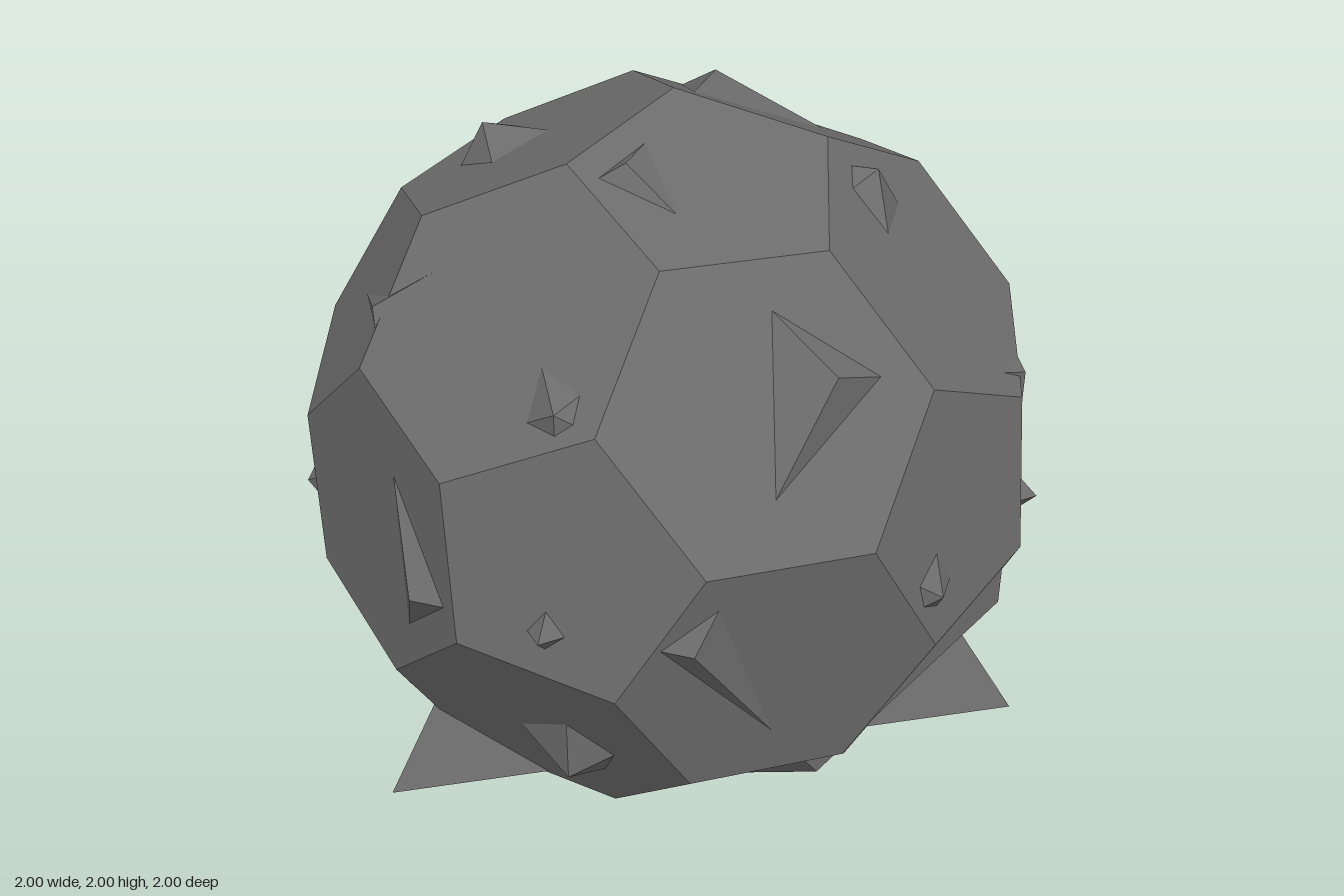
import * as THREE from 'three';
import { ConvexGeometry } from 'three/addons/geometries/ConvexGeometry.js';

const material = new THREE.MeshStandardMaterial({ color: 0x6c6c6c, flatShading: true });

// The 12 corners of an icosahedron: cyclic permutations of (0, ±1, ±phi)
function icosahedronCorners() {
  const phi = (1 + Math.sqrt(5)) / 2;
  const corners = [];
  for (const a of [-1, 1]) for (const b of [-phi, phi]) {
    corners.push(new THREE.Vector3(0, a, b), new THREE.Vector3(a, b, 0), new THREE.Vector3(b, 0, a));
  }
  return corners;
}

// Truncated icosahedron of radius 1, standing on a corner, one top edge along +x
function truncatedIcosahedron() {
  const corners = icosahedronCorners();
  const points = [];
  let frame = null;
  for (const a of corners) for (const b of corners) {
    if (a === b || a.distanceTo(b) > 2.1) continue;
    const p = a.clone().lerp(b, 1 / 3).normalize();
    points.push(p);
    if (!frame) {
      const u = a.clone().addScaledVector(p, -a.dot(p)).normalize();
      frame = new THREE.Matrix4().makeBasis(u, p, u.clone().cross(p));
    }
  }
  const turn = new THREE.Matrix4().makeRotationY(-THREE.MathUtils.degToRad(55.69));
  const place = turn.multiply(frame.transpose());
  points.forEach((p) => p.applyMatrix4(place));
  return new ConvexGeometry(points);
}

export function createModel() {
  const model = new THREE.Group();
  model.name = 'nestedPolyhedra';

  // All solids share one centre
  const add = (name, geometry) => {
    const mesh = new THREE.Mesh(geometry, material);
    mesh.name = name;
    mesh.position.y = 1;
    model.add(mesh);
  };

  // Outer ball of pentagons and hexagons
  add('truncatedIcosahedron', truncatedIcosahedron());

  // Regular solids of the same radius, whose corners break through the ball
  add('octahedron', new THREE.OctahedronGeometry(1));
  add('icosahedron', new THREE.IcosahedronGeometry(1));
  add('dodecahedron', new THREE.DodecahedronGeometry(1).rotateY(Math.PI / 2));

  // Tetrahedron with a level base, its three lower corners sticking out
  add('tetrahedron', new THREE.ConeGeometry(1, Math.SQRT2, 3, 1, false, Math.PI / 2));

  return model;
}
